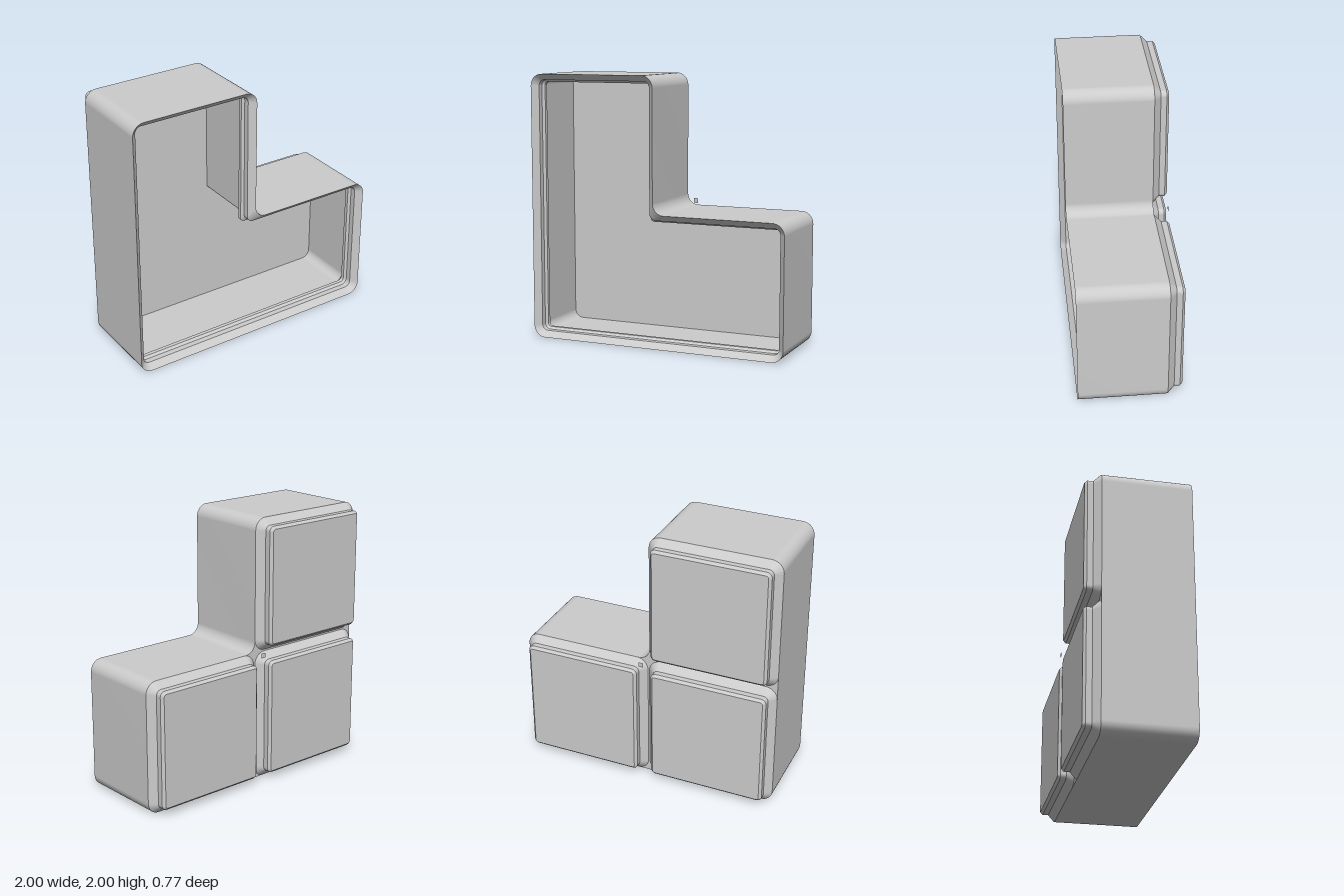
import * as THREE from 'three';
import { mergeGeometries } from 'three/addons/utils/BufferGeometryUtils.js';

const material = new THREE.MeshStandardMaterial({ color: 0xcccccc });
const STEPS = 8; // segments per rounded corner

// Walk a right-angled counter-clockwise outline and round every corner.
function roundedLoop(corners, radii) {
  const points = [];
  corners.forEach((p, i) => {
    const n = corners.length;
    const d1 = p.clone().sub(corners[(i + n - 1) % n]).normalize();
    const d2 = corners[(i + 1) % n].clone().sub(p).normalize();
    const r = radii[i];
    const c = p.clone().addScaledVector(d1, -r).addScaledVector(d2, r);
    for (let s = 0; s <= STEPS; s++) {
      const t = (s / STEPS) * Math.PI / 2;
      points.push(c.clone().addScaledVector(d2, -r * Math.cos(t)).addScaledVector(d1, r * Math.sin(t)));
    }
  });
  return points;
}

// L outline inset by o; corner 3 is the concave one.
function lLoop(o, concave) {
  const a = -1 + o, b = o, e = 1 - o, f = 2 - o, mx = -0.006 - o, my = 0.994 - o;
  const corners = [[a, b], [e, b], [e, my], [mx, my], [mx, f], [a, f]].map(c => new THREE.Vector2(...c));
  const r = 0.09 - o;
  return roundedLoop(corners, [r, r, r, concave, r, r]);
}

// Square outline of one foot, inset by o.
function squareLoop(x, y, o) {
  const h = 0.497 - o, r = 0.09 - o;
  const corners = [[-h, -h], [h, -h], [h, h], [-h, h]].map(c => new THREE.Vector2(x + c[0], y + c[1]));
  return roundedLoop(corners, [r, r, r, r]);
}

function geometry(positions, index) {
  const g = new THREE.BufferGeometry();
  g.setAttribute('position', new THREE.Float32BufferAttribute(positions, 3));
  g.setIndex(index);
  g.computeVertexNormals();
  return g;
}

// Wall between two loops, smooth around and creased at its rims.
function band(a, b) {
  const n = a.points.length, index = [];
  const positions = [a, b].flatMap(l => l.points.flatMap(p => [p.x, p.y, l.z]));
  for (let j = 0; j < n; j++) {
    const k = (j + 1) % n;
    index.push(j, k, n + k, j, n + k, n + j);
  }
  return geometry(positions, index);
}

// Flat face filling a loop.
function cap(loop, facesBack) {
  const faces = THREE.ShapeUtils.triangulateShape(loop.points, []);
  const index = faces.flatMap(([a, b, c]) => (facesBack ? [a, c, b] : [a, b, c]));
  return geometry(loop.points.flatMap(p => [p.x, p.y, loop.z]), index);
}

// Back face, stacked bands and an optional closing face.
function loft(name, loops, closeEnd) {
  const parts = [cap(loops[0], true)];
  for (let i = 0; i + 1 < loops.length; i++) parts.push(band(loops[i], loops[i + 1]));
  if (closeEnd) parts.push(cap(loops[loops.length - 1], false));
  const mesh = new THREE.Mesh(mergeGeometries(parts), material);
  mesh.name = name;
  return mesh;
}

export function createModel() {
  const group = new THREE.Group();
  group.name = 'lShapedBin';

  // Shell: outer wall, stepped stacking lip, undercut, inner wall, floor
  const shell = [ // inset, z, concave corner radius
    [0, -0.272, 0.085], [0, 0.385, 0.085],
    [0.045, 0.34, 0.05], [0.045, 0.297, 0.05],
    [0.062, 0.28, 0.03], [0.062, 0.252, 0.03],
    [0.023, 0.213, 0.03], [0.023, -0.235, 0.03],
  ].map(([o, z, r]) => ({ points: lLoop(o, r), z }));
  group.add(loft('binShell', shell, true));

  // Three stepped feet on the back
  const footProfile = [[0.07, -0.385], [0.051, -0.366], [0.051, -0.323], [0, -0.272]];
  [['lowerRightFoot', -0.503, 0.497], ['lowerLeftFoot', 0.503, 0.497], ['upperRightFoot', -0.503, 1.503]]
    .forEach(([name, x, y]) => {
      const loops = footProfile.map(([o, z]) => ({ points: squareLoop(x, y, o), z }));
      group.add(loft(name, loops, false));
    });

  // Tiny flat tab at the inner corner, level with the feet
  const tabMaterial = material.clone();
  tabMaterial.side = THREE.DoubleSide;
  const tab = new THREE.Mesh(new THREE.PlaneGeometry(0.036, 0.036), tabMaterial);
  tab.name = 'cornerTab';
  tab.position.set(0.012, 1.008, -0.385);
  group.add(tab);

  return group;
}
